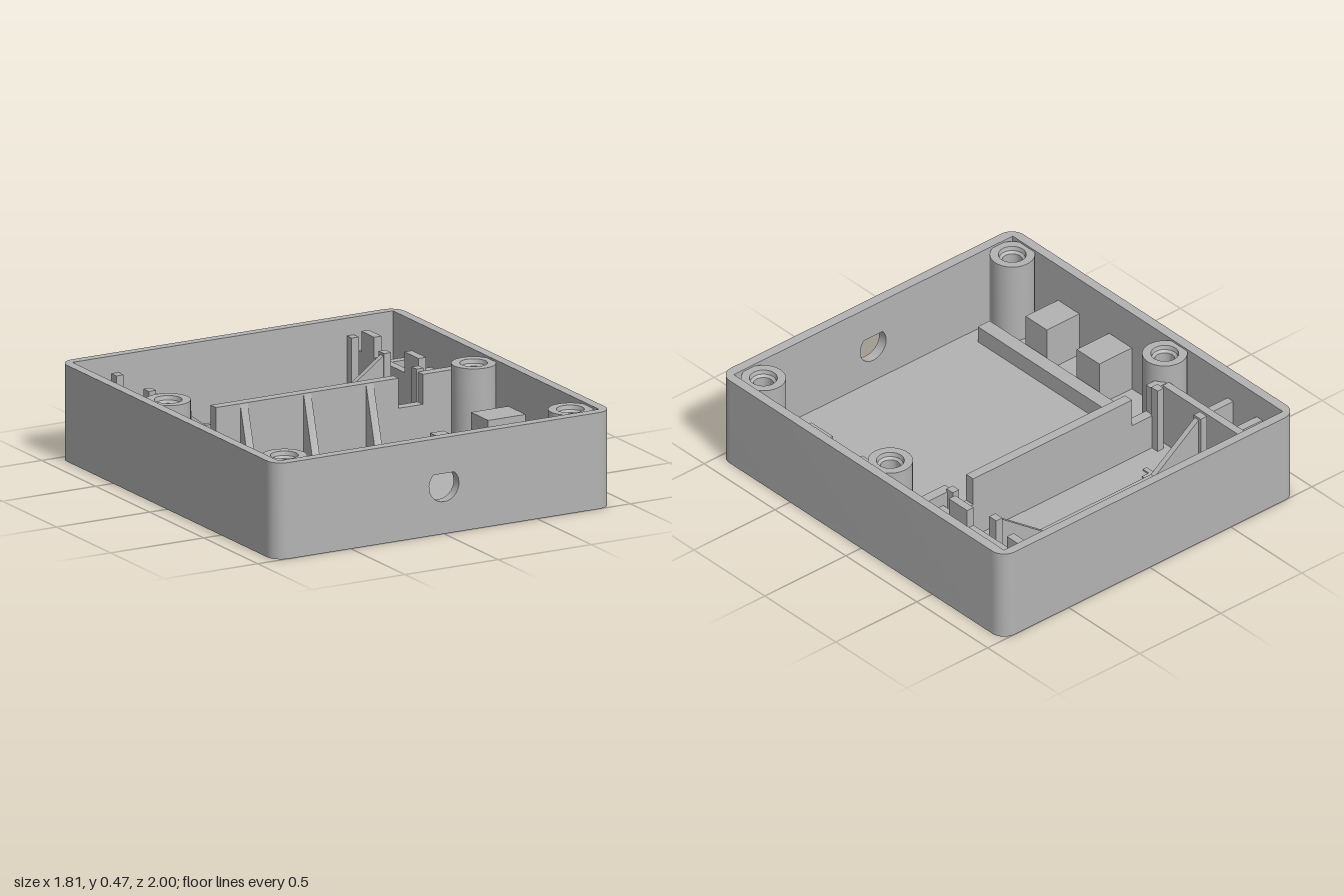
import * as THREE from 'three';
import { toCreasedNormals } from 'three/addons/utils/BufferGeometryUtils.js';

const W = 0.907, D = 1, H = 0.465, R = 0.075, FLOOR = 0.04;
const IN_X = 0.86, IN_BACK = -0.955, IN_FRONT = 0.95;

export function createModel() {
  const model = new THREE.Group();
  model.name = 'batteryEnclosure';
  const plastic = new THREE.MeshStandardMaterial({ color: 0xb3b3b3 });
  plastic.name = 'grey plastic';

  const add = (name, geometry) => {
    const mesh = new THREE.Mesh(geometry, plastic);
    mesh.name = name;
    model.add(mesh);
    return mesh;
  };
  // box given by its limits on each axis
  const box = (name, x0, x1, y0, y1, z0, z1) => {
    const mesh = add(name, new THREE.BoxGeometry(x1 - x0, y1 - y0, z1 - z0));
    mesh.position.set((x0 + x1) / 2, (y0 + y1) / 2, (z0 + z1) / 2);
  };
  const extrude = (shape, depth) => toCreasedNormals(
    new THREE.ExtrudeGeometry(shape, { depth, bevelEnabled: false, curveSegments: 10 }), 0.5);
  // plan shape (x, -z) raised from y0 to y1
  const raise = (name, shape, y0, y1) => {
    const mesh = add(name, extrude(shape, y1 - y0));
    mesh.rotation.x = -Math.PI / 2;
    mesh.position.y = y0;
  };
  const polygon = (pts) => new THREE.Shape(pts.map(([x, y]) => new THREE.Vector2(x, y)));

  // floor plate with rounded corners
  const q = Math.PI / 2;
  const plate = new THREE.Shape();
  plate.absarc(W - R, D - R, R, 0, q);
  plate.absarc(-W + R, D - R, R, q, 2 * q);
  plate.absarc(-W + R, -D + R, R, 2 * q, 3 * q);
  plate.absarc(W - R, -D + R, R, 3 * q, 4 * q);
  plate.closePath();
  raise('floor', plate, 0, FLOOR);

  // back and side walls in one U, open between the front corners
  const u = new THREE.Shape();
  u.moveTo(W - R, -D);
  u.absarc(W - R, -D + R, R, 3 * q, 4 * q);
  u.absarc(W - R, D - R, R, 0, q);
  u.absarc(-W + R, D - R, R, q, 2 * q);
  u.absarc(-W + R, -D + R, R, 2 * q, 3 * q);
  u.lineTo(-W + R, -IN_FRONT);
  u.lineTo(-IN_X, -IN_FRONT);
  u.lineTo(-IN_X, -IN_BACK);
  u.lineTo(IN_X, -IN_BACK);
  u.lineTo(IN_X, -IN_FRONT);
  u.lineTo(W - R, -IN_FRONT);
  u.closePath();
  raise('sideAndBackWalls', u, FLOOR, H);

  // front wall with a teardrop cable hole
  const front = polygon([[-W + R, FLOOR], [W - R, FLOOR], [W - R, H], [-W + R, H]]);
  const drop = new THREE.Path();
  drop.moveTo(0, 0.345);
  drop.absarc(0, 0.235, 0.08, Math.PI * 0.75, Math.PI * 2.25);
  drop.closePath();
  front.holes.push(drop);
  add('frontWall', extrude(front, D - IN_FRONT)).position.z = IN_FRONT;

  // screw bosses with countersunk holes
  const bossProfile = [[0.105, FLOOR], [0.105, 0.455], [0.065, 0.455], [0.06, 0.435],
    [0.047, 0.425], [0.047, 0.1], [0, 0.1]].map(([r, y]) => new THREE.Vector2(r, y));
  for (const [x, z] of [[-0.77, -0.225], [0.765, -0.045], [-0.77, 0.85], [0.765, 0.85]]) {
    add('screwBoss', toCreasedNormals(new THREE.LatheGeometry(bossProfile, 40), 0.5)).position.set(x, 0, z);
  }

  // circuit board rails and side blocks
  for (const s of [-1, 1]) {
    const pair = (a, b) => (s > 0 ? [a, b] : [-b, -a]);
    box('boardRail', ...pair(0.575, 0.648), FLOOR, 0.125, -0.12, 0.87);
    box('sideBlock', ...pair(0.66, IN_X), FLOOR, 0.27, 0.11, 0.27);
    box('sideBlock', ...pair(0.66, IN_X), FLOOR, 0.27, 0.48, 0.63);

    // ribs from the outer wall to the battery end walls
    for (const z of [-0.79, -0.585]) {
      box('endWallRib', ...pair(0.715, IN_X), FLOOR, s > 0 ? 0.28 : 0.34, z - 0.02, z + 0.02);
    }
    // contact clips: a post with a lip in each slot
    for (const [z0, z1] of [[IN_BACK, -0.91], [-0.66, -0.61], [-0.355, -0.31]]) {
      box('contactClip', ...pair(0.612, 0.65), FLOOR, 0.38, z0, z1);
    }
    // partition notch and outer end
    box('partitionNotch', ...pair(0.49, 0.62), FLOOR, 0.22, -0.315, -0.265);
    box('partitionEnd', ...pair(0.62, s > 0 ? IN_X : 0.7), FLOOR, 0.365, -0.315, -0.265);
  }

  // battery end walls
  box('rightEndWall', -0.72, -0.68, FLOOR, 0.36, IN_BACK, -0.265);
  box('leftEndWall', 0.675, 0.715, FLOOR, 0.3, IN_BACK, -0.315);
  box('endWallTab', 0.675, 0.715, 0.3, 0.4, -0.93, -0.81);
  box('endWallTab', 0.675, 0.715, 0.3, 0.4, -0.53, -0.4);

  // battery partition with sloping buttresses
  box('partition', -0.49, 0.49, FLOOR, 0.365, -0.315, -0.265);
  const buttress = polygon([[0, FLOOR], [0.1, FLOOR], [0.085, 0.06], [0, 0.36]]);
  for (const x of [-0.34, 0, 0.335]) {
    const mesh = add('buttress', extrude(buttress, 0.04));
    mesh.rotation.y = -Math.PI / 2;
    mesh.position.set(x + 0.02, 0, -0.265);
  }

  // divider between the cells, rising at both ends
  const divider = polygon([[-0.615, FLOOR], [0.615, FLOOR], [0.615, 0.37], [0.34, 0.17],
    [-0.34, 0.17], [-0.615, 0.37]]);
  add('cellDivider', extrude(divider, 0.028)).position.z = -0.645;

  // polarity marks
  const mark = (x, z, plus) => {
    const a = plus ? 0.053 : 0.032, t = 0.012;
    const shape = plus
      ? polygon([[-a, -t], [-t, -t], [-t, -a], [t, -a], [t, -t], [a, -t],
        [a, t], [t, t], [t, a], [-t, a], [-t, t], [-a, t]])
      : polygon([[-a, -t], [a, -t], [a, t], [-a, t]]);
    shape.name = 'mark';
    const mesh = add('polarityMark', extrude(shape, 0.008));
    mesh.rotation.x = -Math.PI / 2;
    mesh.position.set(x, FLOOR, z);
  };
  mark(0.465, -0.805, true);
  mark(-0.47, -0.82, false);
  mark(-0.47, -0.48, true);
  mark(0.465, -0.49, false);

  return model;
}
